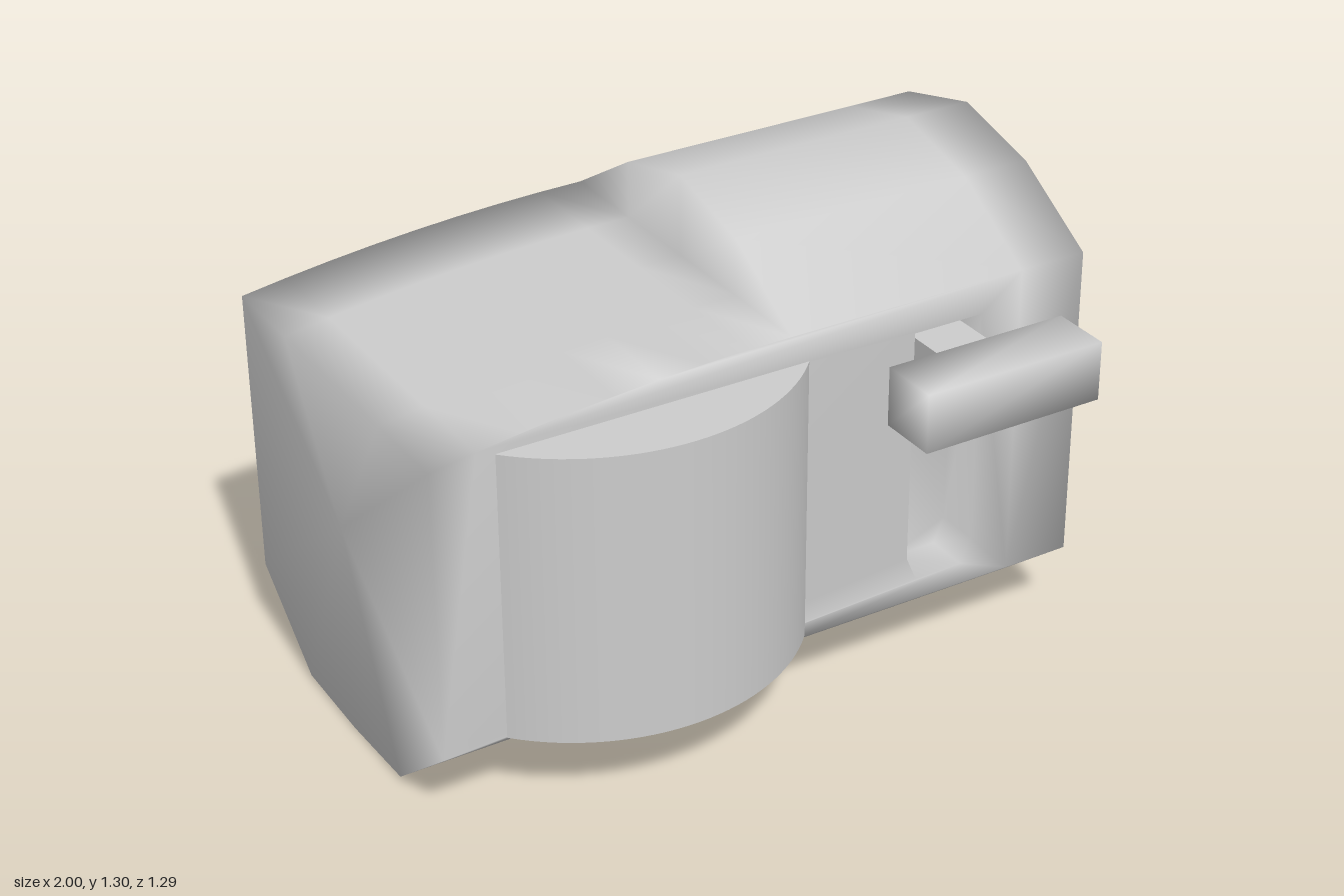
import * as THREE from 'three';
import { mergeGeometries, mergeVertices } from 'three/addons/utils/BufferGeometryUtils.js';

const FRONT = 0.385, STEP = -0.03;

// Cross-section [z, y], from the front top edge over the crown to the front bottom edge
const SECTION = [
  [FRONT, 1.09], [0.13, 1.245], [-0.13, 1.31], [-0.39, 1.245], [-0.645, 1.09],
  [-0.645, 0.22], [-0.39, 0.015], [-0.13, 0.005], [0.13, 0.015], [FRONT, 0.22],
];

// Gently curved lower roof
const roof = (x) => 1.09 - 0.08 * ((STEP - x) / 0.97) ** 2;

function geometryFrom(positions, indices) {
  const g = new THREE.BufferGeometry();
  g.setAttribute('position', new THREE.Float32BufferAttribute(positions, 3));
  g.setIndex(indices);
  return g;
}

// Join pieces and share normals across every edge
function smooth(pieces) {
  for (const g of pieces) {
    g.deleteAttribute('normal');
    g.deleteAttribute('uv');
  }
  const g = mergeVertices(mergeGeometries(pieces), 1e-4);
  g.computeVertexNormals();
  return g;
}

function bodyGeometry() {
  // Stations along x; the step has one low and one high ring
  const low = [];
  for (let i = 0; i <= 8; i++) low.push(-1 + (0.97 * i) / 8);
  const high = [STEP, 0.65, 0.84];
  const rings = [
    ...low.map((x) => SECTION.map(([z, y]) => [x, Math.min(y, roof(x)), z])),
    ...high.map((x) => SECTION.map(([z, y]) => [x, y, z])),
  ];
  const n = SECTION.length, last = rings.length - 1;
  const pos = rings.flat(2), idx = [];
  for (let i = 0; i < last; i++) {
    for (let j = 0; j < n - 1; j++) {
      const a = i * n + j, b = a + n;
      idx.push(a, b, a + 1, b, b + 1, a + 1);
    }
  }
  // End caps
  const c = pos.length / 3;
  pos.push(-1, 0.6, -0.13, 0.84, 0.65, -0.13);
  for (let j = 0; j < n; j++) {
    const k = (j + 1) % n;
    idx.push(c, j, k, c + 1, last * n + k, last * n + j);
  }

  // Front panel with the opening of the recess
  const hole = [[0.33, 1.0], [0.33, 0.35], [0.36, 0.28], [0.5, 0.28], [0.53, 0.35], [0.53, 1.0]];
  const toVec = ([x, y]) => new THREE.Vector2(x, y);
  const xs = [...low, 0.65, 0.84];
  const outline = [
    ...xs.map((x) => [x, 0.22]),
    ...xs.slice().reverse().map((x) => [x, x < STEP ? roof(x) : 1.09]),
  ];
  const panel = new THREE.Shape(outline.map(toVec));
  panel.holes.push(new THREE.Path(hole.map(toVec)));
  const panelGeo = new THREE.ShapeGeometry(panel).translate(0, 0, FRONT);

  // Recess floor and walls
  const depth = 0.12;
  const floor = new THREE.ShapeGeometry(new THREE.Shape(hole.map(toVec))).translate(0, 0, FRONT - depth);
  const wallPos = [], wallIdx = [];
  hole.forEach(([x, y], i) => {
    wallPos.push(x, y, FRONT, x, y, FRONT - depth);
    const a = i * 2, b = ((i + 1) % hole.length) * 2;
    wallIdx.push(a, b, a + 1, b, b + 1, a + 1);
  });

  return smooth([geometryFrom(pos, idx), panelGeo, floor, geometryFrom(wallPos, wallIdx)]);
}

export function createModel() {
  const model = new THREE.Group();
  model.name = 'steppedHousing';
  const grey = new THREE.MeshStandardMaterial({ color: 0xcccccc });
  grey.name = 'lightGrey';

  const add = (name, geometry) => {
    const mesh = new THREE.Mesh(geometry, grey);
    mesh.name = name;
    model.add(mesh);
    return mesh;
  };
  // Box given by its limits on each axis
  const box = (x0, x1, y0, y1, z0, z1) =>
    new THREE.BoxGeometry(x1 - x0, y1 - y0, z1 - z0)
      .translate((x0 + x1) / 2, (y0 + y1) / 2, (z0 + z1) / 2);

  add('body', bodyGeometry());

  // Curved front bulge: a slice of an upright cylinder
  const half = 0.822;
  add('frontBulge', new THREE.CylinderGeometry(0.58, 0.58, 0.785, 32, 1, false, -half, half * 2)
    .translate(-0.405, 0.6175, -0.008));

  // T-shaped handle standing out of the recess
  add('handleStem', box(0.35, 0.5, 0.85, 0.97, 0.26, 0.485));
  add('handleBar', smooth([box(0.19, 0.705, 0.83, 0.99, 0.48, 0.645)]));

  // Side plate with two ledges
  add('sidePlate', box(0.835, 0.862, 0.3, 0.98, -0.25, 0));
  for (const [name, y0, y1] of [['upperLedge', 0.82, 0.873], ['lowerLedge', 0.665, 0.718]]) {
    add(name, box(0.86, 1, y0, y1, -0.25, 0));
  }
  return model;
}
